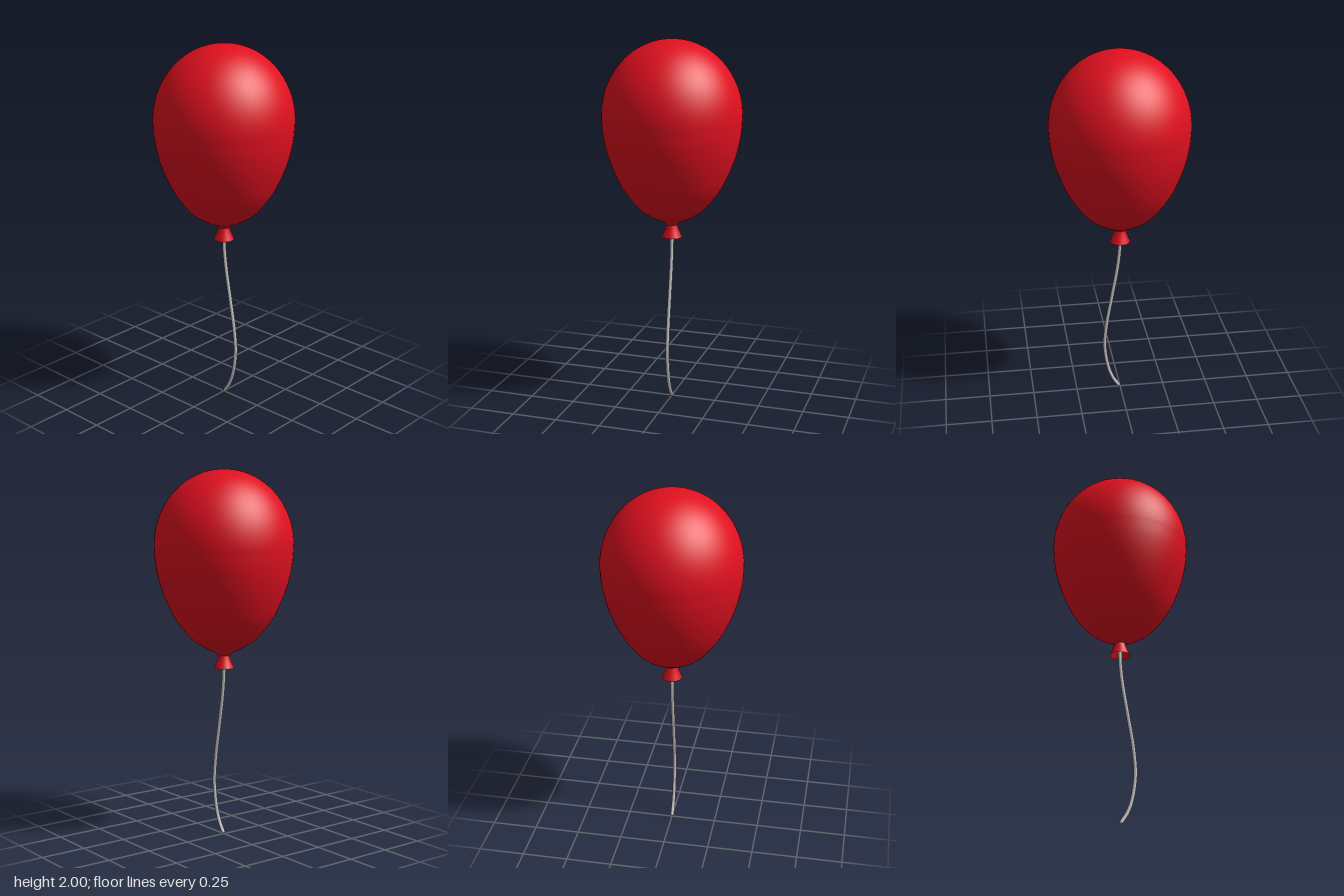
import * as THREE from 'three';

const v2 = ([x, y]) => new THREE.Vector2(x, y);

export function createModel() {
  const model = new THREE.Group();
  const red = new THREE.MeshStandardMaterial({ color: 0xe01020, side: THREE.DoubleSide });
  const grey = new THREE.MeshStandardMaterial({ color: 0xcccccc });

  const add = (name, geometry, material) => {
    const mesh = new THREE.Mesh(geometry, material);
    mesh.name = name;
    model.add(mesh);
    return mesh;
  };

  // Balloon: tapering lower half as a spline, domed top as a quarter ellipse
  const R = 0.375, widest = 1.595, dome = 0.405;
  const lower = new THREE.SplineCurve([
    [0.028, 1.0], [0.055, 1.02], [0.115, 1.05], [0.185, 1.1], [0.262, 1.2],
    [0.312, 1.3], [0.347, 1.4], [0.368, 1.5], [R, widest],
  ].map(v2)).getPoints(48);
  const upper = [];
  for (let i = 1; i <= 28; i++) {
    const a = (i / 28) * Math.PI / 2;
    upper.push(v2([i === 28 ? 0 : R * Math.cos(a), widest + dome * Math.sin(a)]));
  }
  add('balloon', new THREE.LatheGeometry([...lower, ...upper], 64), red);

  // Flared open skirt below the neck
  const skirt = [[0.055, 0.932], [0.043, 0.96], [0.033, 0.985], [0.028, 1.005]].map(v2);
  add('skirt', new THREE.LatheGeometry(skirt, 40), red);

  // Knot closing the neck inside the skirt
  const knot = add('knot', new THREE.SphereGeometry(0.028, 24, 12), red);
  knot.position.y = 1.0;

  // String hanging in a gentle curve in the x-y plane
  const path = new THREE.CatmullRomCurve3([
    [0, 0.99], [0.001, 0.9], [0.013, 0.78], [0.046, 0.59], [0.077, 0.41],
    [0.087, 0.27], [0.066, 0.13], [0.04, 0.06], [0.008, 0.01],
  ].map(([x, y]) => new THREE.Vector3(x, y, 0)));
  add('string', new THREE.TubeGeometry(path, 90, 0.01, 12), grey);

  // Rounded lower end of the string
  const tip = add('stringEnd', new THREE.SphereGeometry(0.01, 12, 8), grey);
  tip.position.set(0.008, 0.01, 0);

  return model;
}
